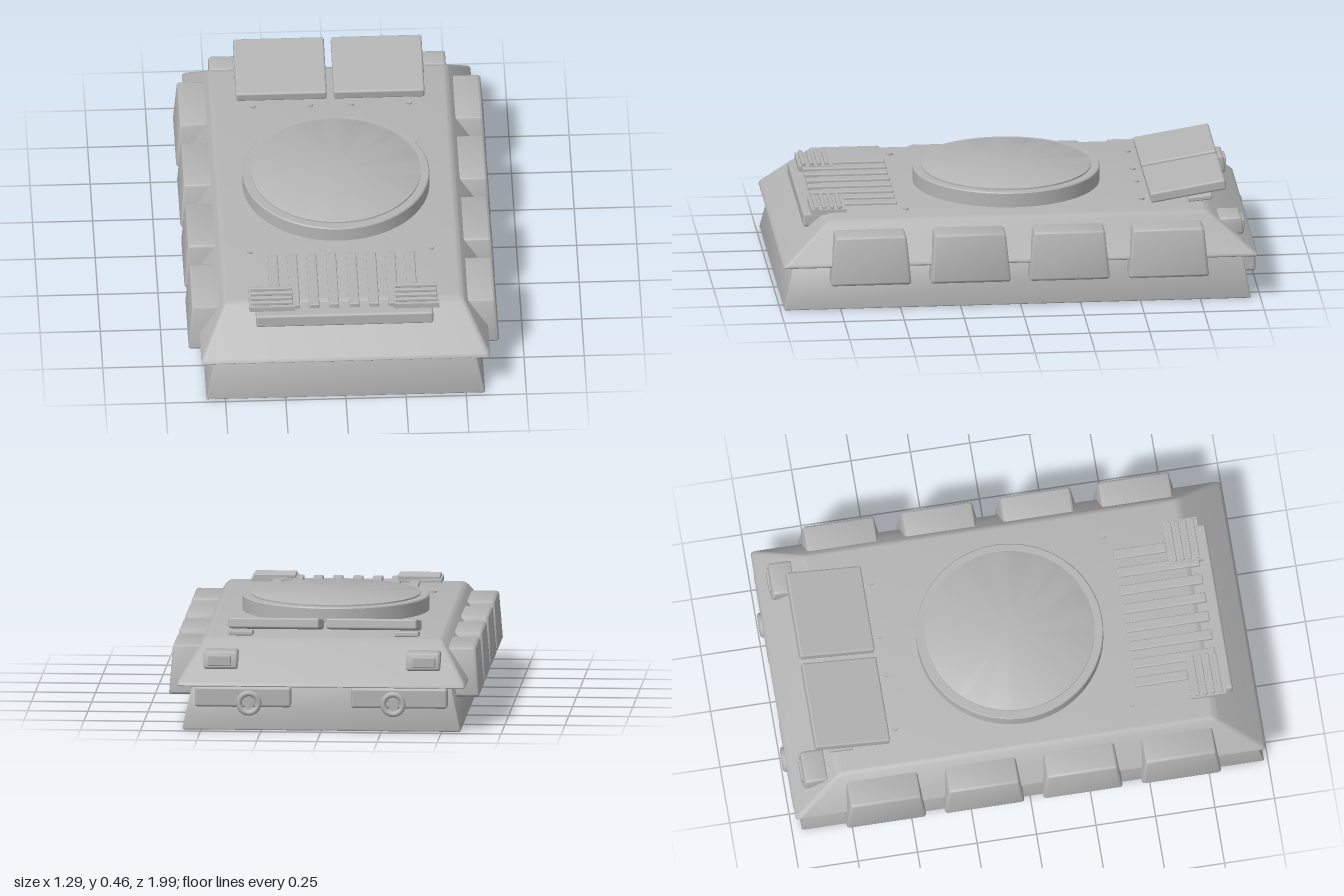
import * as THREE from 'three';
import { toCreasedNormals } from 'three/addons/utils/BufferGeometryUtils.js';
import { RoundedBoxGeometry } from 'three/addons/geometries/RoundedBoxGeometry.js';

const grey = new THREE.MeshStandardMaterial({ color: 0xb4b4b4 });
grey.name = 'plain grey';

// Rounded block between two rectangles [x0, x1, z0, z1] at heights y0 and y1
function taperedBlock(y0, bottom, y1, top, radius) {
  const mid = bottom.map((v, i) => (v + top[i]) / 2);
  const w = mid[1] - mid[0], d = mid[3] - mid[2], h = y1 - y0;
  const geo = new RoundedBoxGeometry(w, h, d, 3, radius);
  const p = geo.attributes.position;
  for (let i = 0; i < p.count; i++) {
    const t = p.getY(i) / h + 0.5;
    const r = bottom.map((v, k) => THREE.MathUtils.lerp(v, top[k], t));
    p.setXYZ(i,
      THREE.MathUtils.lerp(r[0], r[1], p.getX(i) / w + 0.5),
      y0 + t * h,
      THREE.MathUtils.lerp(r[2], r[3], p.getZ(i) / d + 0.5));
  }
  return toCreasedNormals(geo, 0.6);
}

export function createModel() {
  const model = new THREE.Group();
  model.name = 'armouredHull';

  const add = (name, geo, x = 0, y = 0, z = 0, parent = model) => {
    const mesh = new THREE.Mesh(geo, grey);
    mesh.name = name;
    mesh.position.set(x, y, z);
    parent.add(mesh);
    return mesh;
  };

  // Hull: lower tub and overhanging upper deck
  add('lowerHull', taperedBlock(0, [-0.58, 0.58, -0.96, 0.985], 0.2, [-0.535, 0.535, -0.925, 0.94], 0.006));
  add('upperHull', taperedBlock(0.185, [-0.608, 0.608, -1, 1], 0.362, [-0.492, 0.492, -0.785, 0.79], 0.018));

  // Turret ring with a slightly raised inner disc
  const ringProfile = [[0, 0.35], [0.388, 0.35], [0.388, 0.421], [0.384, 0.426], [0.352, 0.426],
    [0.352, 0.432], [0.348, 0.434], [0, 0.434]].map(([x, y]) => new THREE.Vector2(x, y));
  add('turretRing', toCreasedNormals(new THREE.LatheGeometry(ringProfile, 64), 0.5), 0, 0, 0.008);

  for (const s of [1, -1]) {
    const side = s > 0 ? 'left' : 'right';
    const span = (a, b) => (s > 0 ? [a, b] : [-b, -a]);

    // Side stowage boxes
    for (const z of [0.627, 0.213, -0.2, -0.613]) {
      add(side + 'SideBox', taperedBlock(
        0.118, [...span(0.5, 0.646), z - 0.168, z + 0.168],
        0.325, [...span(0.5, 0.63), z - 0.148, z + 0.148], 0.013));
    }

    // Raised rear deck panel and its hinge bracket
    const panel = add(side + 'RearPanel', new RoundedBoxGeometry(0.377, 0.044, 0.318, 2, 0.009), s * 0.203, 0.411, -0.716);
    panel.rotation.x = 0.165;
    const bracket = add(side + 'PanelBracket', new RoundedBoxGeometry(0.1, 0.02, 0.1, 2, 0.005), s * 0.345, 0.38, -0.765);
    bracket.rotation.x = 0.1;

    // Rear lamp housing with a thin hood
    add(side + 'RearLamp', taperedBlock(
      0.25, [...span(0.35, 0.492), -0.94, -0.82],
      0.325, [...span(0.35, 0.492), -0.93, -0.835], 0.012));
    add(side + 'LampLens', new RoundedBoxGeometry(0.095, 0.045, 0.012, 2, 0.005), s * 0.425, 0.287, -0.937);

    // Rear locker with a round tow eye
    add(side + 'RearLocker', new RoundedBoxGeometry(0.4, 0.085, 0.08, 3, 0.012), s * 0.325, 0.142, -0.945);
    add(side + 'TowEye', new THREE.TorusGeometry(0.041, 0.012, 10, 32), s * 0.3, 0.118, -0.988);
    const pin = add(side + 'TowPin', new THREE.CylinderGeometry(0.022, 0.022, 0.04, 20), s * 0.3, 0.118, -0.975);
    pin.rotation.x = Math.PI / 2;

    // Front corner grille
    add(side + 'GrilleBase', new THREE.BoxGeometry(0.19, 0.022, 0.145), s * 0.3, 0.365, 0.782);
    for (let i = 0; i < 4; i++) {
      add(side + 'GrilleSlat', new RoundedBoxGeometry(0.175, 0.016, 0.017, 2, 0.004), s * 0.3, 0.382, 0.736 + i * 0.032);
    }

    // Deck ribs: the outermost stops behind the grille
    for (const [x, end] of [[0.042, 0.838], [0.124, 0.838], [0.204, 0.838], [0.285, 0.71]]) {
      add(side + 'DeckRib', new RoundedBoxGeometry(0.042, 0.022, end - 0.49, 2, 0.005), s * x, 0.362, (0.49 + end) / 2);
    }

    // Deck bolts
    for (const [x, z] of [[0.377, 0.46], [0.325, -0.527], [0.085, -0.527]]) {
      add(side + 'DeckBolt', new THREE.CylinderGeometry(0.012, 0.012, 0.012, 16), s * x, 0.364, z);
    }
  }

  // Front bar under the ribs
  add('frontBar', new RoundedBoxGeometry(0.736, 0.058, 0.13, 3, 0.01), 0, 0.324, 0.822);

  return model;
}
